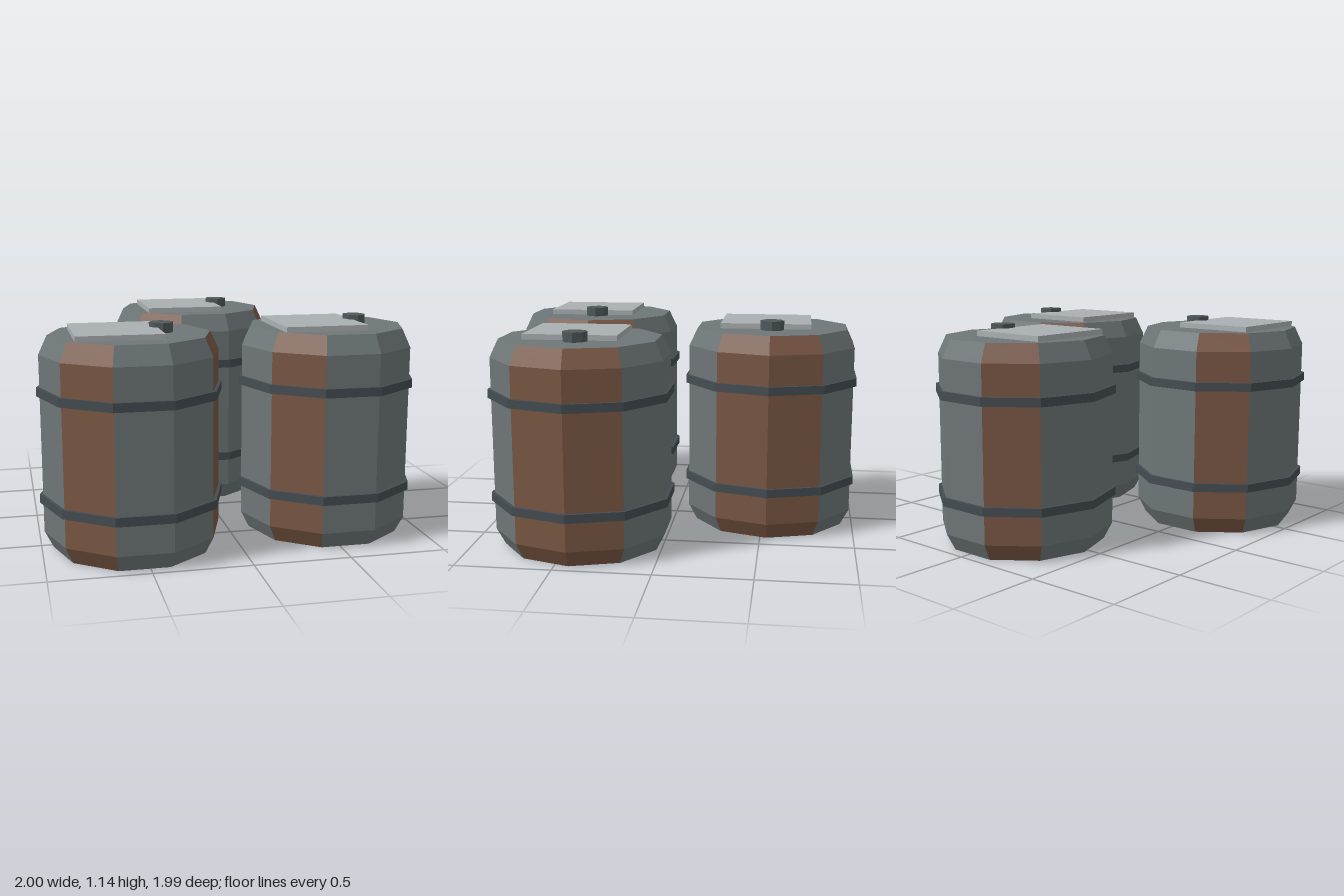
import * as THREE from 'three';
import { mergeGeometries } from 'three/addons/utils/BufferGeometryUtils.js';

const SIDES = 10;
const STEP = (Math.PI * 2) / SIDES;
const HEIGHT = 1.095;
const RUSTY = [0, 3, 6, 9]; // side panels in the rust colour, counted from +x towards +z

const mat = (color) => new THREE.MeshStandardMaterial({ color, flatShading: true });
const points = (list) => list.map(([r, y]) => new THREE.Vector2(r, y));

export function createModel() {
  const steel = mat(0x6e7678);
  const rust = mat(0x7a5744);
  const hoopMat = mat(0x454d52);
  const capMat = mat(0x50585b);
  const plateMat = mat(0xaab0b2);

  // Side panels with bevelled ends, one tenth of a turn each
  const side = points([[0.41, 0], [0.4545, 0.088], [0.4545, 1.0], [0.41, HEIGHT]]);
  const steelParts = [];
  const rustParts = [];
  for (let k = 0; k < SIDES; k++) {
    const panel = new THREE.LatheGeometry(side, 1, Math.PI / 2 - STEP * (k + 1), STEP);
    (RUSTY.includes(k) ? rustParts : steelParts).push(panel);
  }
  // Flat bottom and top
  steelParts.push(new THREE.LatheGeometry(points([[0, 0], [0.41, 0]]), SIDES, Math.PI / 2));
  steelParts.push(new THREE.LatheGeometry(points([[0.41, HEIGHT], [0, HEIGHT]]), SIDES, Math.PI / 2));

  const steelGeo = mergeGeometries(steelParts);
  const rustGeo = mergeGeometries(rustParts);
  const hoopGeo = new THREE.CylinderGeometry(0.471, 0.471, 0.045, SIDES, 1, false, Math.PI / 2);
  const plateGeo = new THREE.BoxGeometry(0.43, 0.03, 0.474);
  const capGeo = new THREE.CylinderGeometry(0.062, 0.062, 0.05, 8);

  function makeBarrel(name, x, z) {
    const barrel = new THREE.Group();
    barrel.name = name;
    const add = (part, geometry, material, px = 0, py = 0, pz = 0) => {
      const mesh = new THREE.Mesh(geometry, material);
      mesh.name = part;
      mesh.position.set(px, py, pz);
      barrel.add(mesh);
    };
    add('steelBody', steelGeo, steel);
    add('rustPanels', rustGeo, rust);
    add('lowerHoop', hoopGeo, hoopMat, 0, 0.264, 0);
    add('upperHoop', hoopGeo, hoopMat, 0, 0.814, 0);
    add('topPlate', plateGeo, plateMat, -0.08, HEIGHT + 0.013, 0.032);
    add('fillerCap', capGeo, capMat, 0.159, HEIGHT + 0.025, -0.003);
    barrel.scale.z = 1.035; // slightly deeper than wide
    barrel.position.set(x, 0, z);
    return barrel;
  }

  const model = new THREE.Group();
  model.name = 'barrelCluster';
  model.add(
    makeBarrel('frontRightBarrel', -0.529, 0.533),
    makeBarrel('frontLeftBarrel', 0.529, 0.429),
    makeBarrel('backBarrel', -0.013, -0.533),
  );
  return model;
}
